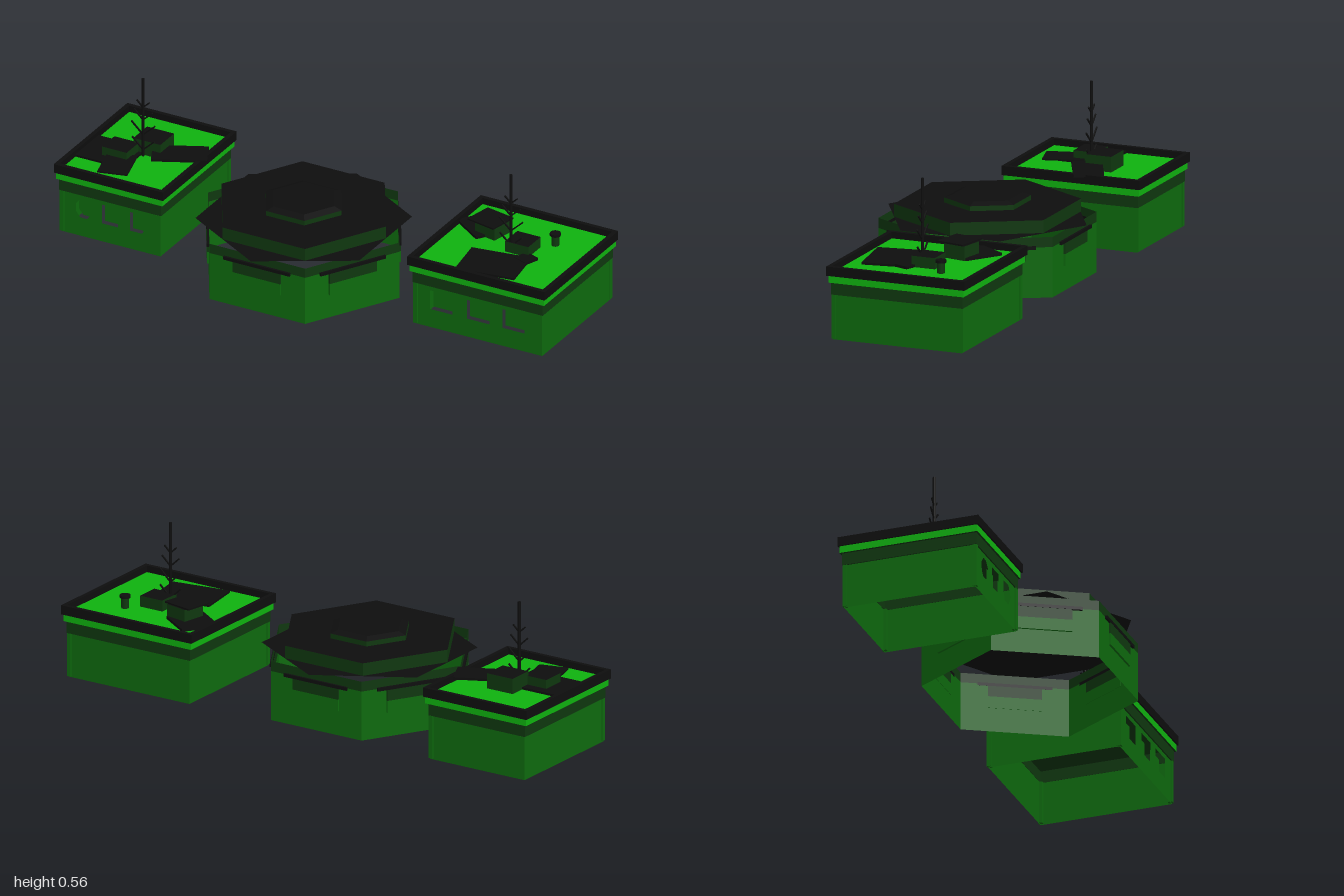
import * as THREE from 'three';

const mat = (name, color) => {
  const m = new THREE.MeshStandardMaterial({ color, side: THREE.DoubleSide });
  m.name = name;
  return m;
};

export function createModel() {
  const bright = mat('bright green', 0x0fb20f);
  const wall = mat('wall green', 0x0e6a0e);
  const dark = mat('dark green', 0x0f370f);
  const black = mat('near black', 0x0e0e0e);
  const model = new THREE.Group();

  const add = (parent, name, geo, material, x = 0, y = 0, z = 0, ry = 0) => {
    const m = new THREE.Mesh(geo, material);
    m.name = name;
    m.position.set(x, y, z);
    m.rotation.y = ry;
    parent.add(m);
    return m;
  };
  // box given by its bottom and top heights
  const box = (parent, name, material, x, z, w, d, y0, y1, ry = 0) =>
    add(parent, name, new THREE.BoxGeometry(w, y1 - y0, d), material, x, (y0 + y1) / 2, z, ry);
  const topped = (side) => [side, side, black, side, side, side];
  const flat = (g) => {
    const n = g.toNonIndexed();
    n.computeVertexNormals();
    return n;
  };
  // hexagonal ring or frustum with corners on +x and -x
  const hex = (parent, name, material, r0, r1, y0, y1, open) =>
    add(parent, name, flat(new THREE.CylinderGeometry(r1, r0, y1 - y0, 6, 1, open)), material, 0, (y0 + y1) / 2, 0, Math.PI / 6);

  // yagi-style mast with V-shaped arms
  function mast(parent, x, z) {
    const g = new THREE.Group();
    g.name = 'antenna';
    g.position.set(x, 0, z);
    parent.add(g);
    add(g, 'antennaPole', new THREE.CylinderGeometry(0.006, 0.006, 0.31, 8), black, 0, 0.4, 0);
    for (const [y, reach] of [[0.27, 0.045], [0.33, 0.048], [0.39, 0.037], [0.44, 0.026]]) {
      for (const s of [-1, 1]) {
        const arm = add(g, 'antennaArm', new THREE.BoxGeometry(0.005, reach * 1.38, 0.005), black, s * reach / 2, y + reach * 0.47, 0);
        arm.rotation.z = -s * 0.82;
      }
    }
  }

  // open-bottomed block with a parapet roof; windows are outlines in the front wall
  function block(name, x0, x1, windows) {
    const g = new THREE.Group();
    g.name = name;
    model.add(g);
    const cx = (x0 + x1) / 2, w = x1 - x0, cz = -0.11, d = 0.536;
    const ww = w - 0.04, wd = 0.5, H = 0.21;
    // front wall with window openings and recessed panes
    const front = new THREE.Shape([[-ww / 2, 0], [ww / 2, 0], [ww / 2, H], [-ww / 2, H]].map((p) => new THREE.Vector2(...p)));
    for (const pts of windows) {
      const v = pts.map(([x, y]) => new THREE.Vector2(x - cx, y));
      front.holes.push(new THREE.Path(v));
      add(g, 'windowPane', new THREE.ShapeGeometry(new THREE.Shape(v)), wall, cx, 0, cz + wd / 2 - 0.022);
    }
    add(g, 'frontWall', new THREE.ShapeGeometry(front), wall, cx, 0, cz + wd / 2);
    add(g, 'backWall', new THREE.PlaneGeometry(ww, H), wall, cx, H / 2, cz - wd / 2, Math.PI);
    for (const s of [-1, 1]) {
      add(g, 'sideWall', new THREE.PlaneGeometry(wd, H), wall, cx + s * ww / 2, H / 2, cz, s * Math.PI / 2);
      for (const t of [-1, 1]) {
        box(g, 'cornerPost', wall, cx + s * (ww / 2 - 0.005), cz + t * (wd / 2 - 0.003), 0.017, 0.017, 0.004, 0.165);
      }
      // dark frieze under the eaves
      box(g, 'sideFrieze', dark, cx + s * (ww / 2 + 0.002), cz, 0.006, wd + 0.01, 0.165, H);
      box(g, 'endFrieze', dark, cx, cz + s * (wd / 2 + 0.002), ww + 0.01, 0.006, 0.165, H);
      // parapet rim
      box(g, 'sideParapet', black, cx + s * (w / 2 - 0.008), cz, 0.016, d, 0.236, 0.27);
      box(g, 'endParapet', black, cx, cz + s * (d / 2 - 0.008), w - 0.032, 0.016, 0.236, 0.27);
    }
    box(g, 'roofTrim', [bright, bright, bright, dark, bright, bright], cx, cz, w - 0.012, d - 0.012, H, 0.238);
    box(g, 'roofDeck', bright, cx, cz, w - 0.034, d - 0.034, 0.236, 0.246);
    return g;
  }
  const rect = (a, b) => [[a, 0.072], [b, 0.072], [b, 0.147], [a, 0.147]];

  // smaller block on the right side, with a round, a square and a pointed window
  const round = Array.from({ length: 8 }, (_, i) => {
    const a = (i + 0.5) * Math.PI / 4;
    return [-0.888 + 0.034 * Math.cos(a), 0.11 + 0.04 * Math.sin(a)];
  });
  const pointed = [[-0.7, 0.072], [-0.65, 0.072], [-0.63, 0.108], [-0.65, 0.147], [-0.7, 0.147]];
  const small = block('rightBlock', -1, -0.555, [round, rect(-0.813, -0.749), pointed]);
  box(small, 'roofPanel', black, -0.885, -0.055, 0.2, 0.17, 0.246, 0.254);
  box(small, 'roofPanel', black, -0.815, 0.025, 0.11, 0.15, 0.254, 0.26, 0.26);
  box(small, 'roofPanel', black, -0.65, -0.135, 0.2, 0.11, 0.262, 0.271, 0.45);
  box(small, 'roofUnit', topped(dark), -0.765, -0.15, 0.11, 0.1, 0.246, 0.303);
  box(small, 'lowRoofUnit', topped(dark), -0.85, -0.06, 0.1, 0.09, 0.246, 0.287);
  mast(small, -0.777, -0.094);

  // larger block on the left side
  const large = block('leftBlock', 0.44, 1, [rect(0.524, 0.615), rect(0.674, 0.765), rect(0.818, 0.909)]);
  box(large, 'roofPanel', black, 0.545, -0.215, 0.15, 0.14, 0.246, 0.256, -0.6);
  box(large, 'roofPanel', black, 0.715, 0.025, 0.225, 0.17, 0.246, 0.254, 0.15);
  box(large, 'roofPanel', black, 0.8, -0.065, 0.06, 0.06, 0.246, 0.256, -0.35);
  box(large, 'roofUnit', topped(dark), 0.595, -0.19, 0.09, 0.09, 0.246, 0.3, -0.2);
  box(large, 'roofUnitLid', black, 0.59, -0.18, 0.12, 0.11, 0.302, 0.308, -0.2);
  box(large, 'lowRoofUnit', topped(dark), 0.75, -0.13, 0.095, 0.09, 0.246, 0.287);
  add(large, 'ventPipe', new THREE.CylinderGeometry(0.014, 0.014, 0.04, 12), dark, 0.835, 0.266, -0.215);
  add(large, 'ventCap', new THREE.CylinderGeometry(0.02, 0.02, 0.01, 12), black, 0.835, 0.29, -0.215);
  mast(large, 0.722, -0.094);

  // hexagonal hall
  const hall = new THREE.Group();
  hall.name = 'hexagonalHall';
  hall.position.x = -0.07;
  model.add(hall);
  hex(hall, 'hallWall', wall, 0.39, 0.39, 0, 0.185, true);
  hex(hall, 'hallFrieze', dark, 0.39, 0.39, 0.185, 0.222, true);
  // flat eaves turned 30 degrees, leaving the wall corners uncovered
  const eaves = add(hall, 'eavesPlate', new THREE.CircleGeometry(0.385, 6, Math.PI / 2), black, 0, 0.223, 0);
  eaves.rotation.x = -Math.PI / 2;
  hex(hall, 'upperRoof', [dark, black, black], 0.335, 0.335, 0.225, 0.272, false);
  hex(hall, 'roofCap', [dark, black, black], 0.155, 0.155, 0.272, 0.29, false);
  hex(hall, 'roofCapTop', black, 0.155, 0.125, 0.29, 0.3, false);
  for (let i = 0; i < 6; i++) {
    const face = new THREE.Group();
    face.name = 'hallFace';
    face.rotation.y = i * Math.PI / 3;
    hall.add(face);
    box(face, 'windowAwning', black, 0, 0.342, 0.27, 0.009, 0.178, 0.19);
    box(face, 'windowGlass', dark, 0, 0.341, 0.195, 0.009, 0.137, 0.178);
    box(face, 'windowPanel', wall, 0, 0.341, 0.195, 0.009, 0.092, 0.137);
  }
  return model;
}
